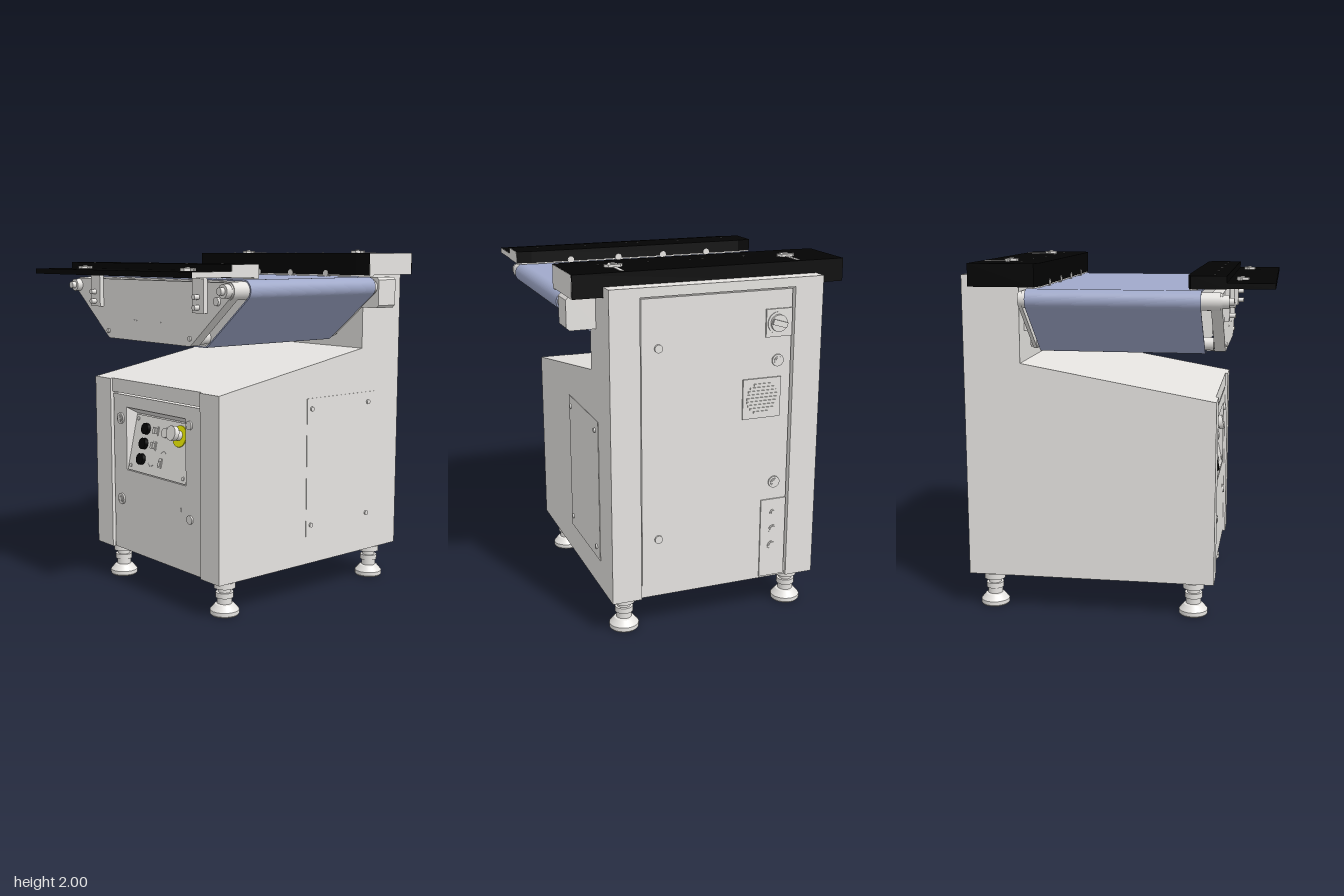
import * as THREE from 'three';

const mat = (name, color) => {
  const m = new THREE.MeshStandardMaterial({ color });
  m.name = name;
  return m;
};

export function createModel() {
  const model = new THREE.Group();
  model.name = 'conveyorMachine';
  const body = mat('paintedSteel', 0xe5e3e0);
  const black = mat('blackCover', 0x030303);
  const blue = mat('beltBlue', 0xa0a9ca);
  const yellow = mat('signalYellow', 0xf0f000);

  const add = (name, geo, m, x = 0, y = 0, z = 0, parent = model) => {
    const mesh = new THREE.Mesh(geo, m);
    mesh.name = name;
    mesh.position.set(x, y, z);
    parent.add(mesh);
    return mesh;
  };
  // box given by its limits
  const box = (name, m, x0, x1, y0, y1, z0, z1, parent = model) =>
    add(name, new THREE.BoxGeometry(x1 - x0, y1 - y0, z1 - z0), m,
      (x0 + x1) / 2, (y0 + y1) / 2, (z0 + z1) / 2, parent);
  // disc or rod with its axis along z, y or x
  const rod = (name, m, r, len, x, y, z, axis = 'z', parent = model, seg = 24) => {
    const g = new THREE.CylinderGeometry(r, r, len, seg);
    if (axis === 'z') g.rotateX(Math.PI / 2);
    if (axis === 'x') g.rotateZ(Math.PI / 2);
    return add(name, g, m, x, y, z, parent);
  };
  const poly = pts => new THREE.Shape(pts.map(p => new THREE.Vector2(...p)));
  const rect = (x0, x1, y0, y1) => poly([[x0, y0], [x1, y0], [x1, y1], [x0, y1]]);
  const extrude = (shape, depth) =>
    new THREE.ExtrudeGeometry(shape, { depth, bevelEnabled: false, curveSegments: 12 });
  // side profile of [z, y] points stretched from x0 to x1
  const profile = (name, m, pts, x0, x1) =>
    add(name, extrude(poly(pts), x1 - x0).rotateY(-Math.PI / 2), m, x1);

  // Cabinet: two corner-post slices and a recessed middle slice
  const post = [[0.56, 0.28], [0.56, 1.24], [-0.52, 1.43], [-0.52, 1.91], [-0.84, 1.91], [-0.84, 0.28]];
  profile('cabinetSide', body, post, 0.432, 0.595);
  profile('cabinetSide', body, post, -0.595, -0.432);
  profile('cabinetCentre', body, [[0.46, 0.28], [0.46, 1.162], [0.545, 1.162], [0.545, 1.24264], [-0.52, 1.43],
    [-0.52, 1.91], [-0.84, 1.91], [-0.84, 1.86], [-0.806, 1.86], [-0.806, 0.28]], -0.432, 0.432);

  // Skirt around the recessed floor
  for (const s of [-1, 1]) {
    box('sideSkirt', body, s * 0.585 - 0.01, s * 0.585 + 0.01, 0.207, 0.28, -0.84, 0.56);
    for (const [a, b] of [[0.54, 0.56], [-0.84, -0.82]])
      box('cornerSkirt', body, s * 0.5035 - 0.0715, s * 0.5035 + 0.0715, 0.207, 0.28, a, b);
  }
  box('rearSkirt', body, -0.432, 0.432, 0.207, 0.28, -0.822, -0.8);

  // Front door with an opening for the control panel
  const door = rect(-0.422, 0.422, 0.21, 1.153);
  door.holes.push(rect(-0.29, 0.285, 0.705, 1.082));
  add('frontDoor', extrude(door, 0.085), body, 0, 0, 0.46);
  profile('panelRecess', body, [[0.455, 0.705], [0.538, 0.705], [0.463, 1.04], [0.543, 1.082], [0.455, 1.082]], -0.29, 0.285);
  for (const [x, y, r] of [[-0.345, 1.01, 0.033], [-0.345, 0.52, 0.033], [0.325, 1.05, 0.025], [0.325, 0.52, 0.025]])
    rod('doorLock', body, r, 0.012, x, y, 0.549);
  for (const y of [1.01, 0.52]) {
    rod('doorLockRing', body, 0.022, 0.006, -0.345, y, 0.556);
    rod('doorLockCore', body, 0.015, 0.01, -0.345, y, 0.557);
  }
  box('doorMark', body, 0.237, 0.243, 0.55, 0.57, 0.545, 0.548);

  // Tilted control panel
  const panel = new THREE.Group();
  panel.name = 'controlPanel';
  panel.position.set(0, 0.8725, 0.5005);
  panel.rotation.x = -Math.atan2(0.075, 0.335);
  model.add(panel);
  box('panelPlate', body, -0.283, 0.278, -0.168, 0.165, 0, 0.006, panel);
  for (const y of [0.09, 0.002, -0.09]) rod('blackButton', black, 0.033, 0.026, -0.16, y, 0.015, 'z', panel);
  for (const y of [0.09, 0.002]) {
    box('selectorFrame', body, -0.1, -0.045, y - 0.026, y + 0.026, 0.005, 0.01, panel);
    for (const dx of [-0.012, 0.012])
      box('selectorKey', body, -0.0725 + dx - 0.01, -0.0725 + dx + 0.01, y - 0.018, y + 0.018, 0.008, 0.016, panel);
  }
  box('toggleSwitch', body, 0.006, 0.034, -0.115, -0.06, 0.005, 0.012, panel);
  box('toggleKey', body, 0.01, 0.03, -0.105, -0.075, 0.01, 0.018, panel);
  rod('whiteButton', body, 0.029, 0.026, 0.032, 0.09, 0.012, 'z', panel);
  rod('stopDisc', yellow, 0.062, 0.008, 0.158, 0.088, 0.008, 'z', panel);
  rod('stopStem', body, 0.028, 0.05, 0.158, 0.092, 0.03, 'z', panel);
  rod('stopHead', body, 0.042, 0.03, 0.158, 0.1, 0.062, 'z', panel);
  for (const x of [-0.26, 0.25]) for (const y of [-0.14, 0.14]) rod('panelScrew', body, 0.011, 0.008, x, y, 0.008, 'z', panel);
  for (const x of [-0.07, 0.035]) {
    const arc = new THREE.TorusGeometry(0.028, 0.0015, 4, 12, 2.2).rotateZ(x < 0 ? -2.67 : 0.47);
    add('dialMark', arc, body, x, x < 0 ? -0.09 : -0.045, 0.007, panel);
  }

  // Access panel on one side
  box('accessPanel', body, 0.59, 0.598, 0.37, 1.17, -0.63, -0.08);
  for (const y of [0.435, 1.11]) for (const z of [-0.115, -0.575]) rod('accessScrew', body, 0.013, 0.012, 0.601, y, z, 'x');

  // Rear door and its fittings
  box('rearDoor', body, -0.422, 0.422, 0.25, 1.85, -0.825, -0.8);
  for (const y of [0.54, 1.59]) rod('rearScrew', body, 0.022, 0.012, 0.33, y, -0.829);
  for (const y of [0.78, 1.47]) {
    rod('rearLock', body, 0.033, 0.012, -0.345, y, -0.828);
    rod('rearLockRing', body, 0.022, 0.006, -0.345, y, -0.835);
    rod('rearLockCore', body, 0.015, 0.01, -0.345, y, -0.835);
  }
  box('switchPlate', body, -0.42, -0.27, 1.6, 1.75, -0.835, -0.82);
  rod('switchRing', body, 0.06, 0.01, -0.338, 1.675, -0.835);
  rod('switchBase', body, 0.046, 0.02, -0.338, 1.675, -0.845);
  box('switchHandle', body, -0.38, -0.296, 1.66, 1.69, -0.866, -0.845).rotation.z = 0.3;
  box('fanGrille', body, -0.365, -0.145, 1.16, 1.38, -0.834, -0.82);
  for (let i = -4; i <= 4; i++) {
    const w = Math.sqrt(0.0081 - (i * 0.019) ** 2);
    box('fanSlat', body, -0.255 - w, -0.255 + w, 1.266 + i * 0.019, 1.276 + i * 0.019, -0.839, -0.83);
  }
  box('socketPlate', body, -0.42, -0.27, 0.22, 0.68, -0.833, -0.815);
  [0.6, 0.5, 0.4].forEach((y, i) => {
    rod('socketRing', body, 0.02 + i * 0.005, 0.006, -0.345, y, -0.833);
    rod('socket', body, 0.013 + i * 0.005, 0.01, -0.345, y, -0.835);
  });

  // Levelling feet
  const foot = new THREE.LatheGeometry([[0, 0], [0.076, 0], [0.082, 0.008], [0.082, 0.03], [0.055, 0.062], [0.042, 0.066],
    [0.042, 0.1], [0.05, 0.1], [0.05, 0.13], [0.036, 0.13], [0.036, 0.15], [0.06, 0.155], [0.06, 0.188], [0.054, 0.19],
    [0.054, 0.285]].flatMap(p => [new THREE.Vector2(...p), new THREE.Vector2(...p)]), 24);
  for (const x of [-0.495, 0.495]) for (const z of [0.44, -0.72]) add('foot', foot, body, x, 0, z);

  // Conveyor outline: two high end rollers and two low ones
  const hi = [0.7, 1.79], lo = [0.375, 1.53];
  const a = Math.atan2(lo[0] - hi[0], hi[1] - lo[1]);
  const outline = (r, P = THREE.Shape) => {
    const s = new P();
    s.absarc(hi[0], hi[1], r, Math.PI / 2, a, true);
    s.absarc(lo[0], lo[1], r, a, -Math.PI / 2, true);
    s.absarc(-lo[0], lo[1], r, -Math.PI / 2, -Math.PI - a, true);
    s.absarc(-hi[0], hi[1], r, Math.PI - a, Math.PI / 2, true);
    s.closePath();
    return s;
  };
  const belt = outline(0.056);
  belt.holes.push(outline(0.048, THREE.Path));
  add('belt', extrude(belt, 0.93), blue, 0, 0, -0.45);
  add('innerFrame', extrude(outline(0.046), 0.9), body, 0, 0, -0.435);
  add('frontSidePlate', extrude(outline(0.042), 0.06), body, 0, 0, 0.53);
  add('rearSidePlate', extrude(outline(0.042), 0.02), body, 0, 0, -0.49);
  for (const s of [-1, 1]) {
    rod('endRoller', body, 0.047, 1.05, s * 0.7, 1.79, 0.055);
    rod('rollerBearing', body, 0.036, 0.04, s * 0.705, 1.79, 0.605);
    rod('bearingCore', body, 0.02, 0.03, s * 0.705, 1.79, 0.635);
    rod('lowerRoller', body, 0.036, 1.03, s * 0.375, 1.53, 0.01);
    rod('plateScrew', body, 0.013, 0.012, s * 0.39, 1.53, 0.593);
    box('mountArm', body, s * 0.45 - 0.04, s * 0.45 + 0.04, 1.6, 1.66, -0.53, -0.47);
    box('beltGuide', body, s * 0.3 - 0.03, s * 0.3 + 0.03, 1.484, 1.49, 0.48, 0.53);
    box('plateSlot', body, s * 0.115 - 0.012, s * 0.115 + 0.012, 1.6, 1.606, 0.589, 0.593);
    // brackets that carry the front cover
    box('coverBracket', body, s * 0.49 - 0.048, s * 0.49 + 0.048, 1.67, 1.86, 0.59, 0.615);
    box('bracketFlange', body, s * 0.49 - 0.048, s * 0.49 + 0.048, 1.85, 1.862, 0.59, 0.64);
    for (const y of [1.7, 1.755]) rod('bracketBolt', body, 0.014, 0.035, s * 0.492, y, 0.63);
  }
  // Drive motor housing
  const motor = poly([[0.57, 1.67], [0.735, 1.67], [0.752, 1.685], [0.752, 1.83], [0.738, 1.845], [0.57, 1.845]]);
  add('driveHousing', extrude(motor, 0.14), body, 0, 0, -0.62);
  rod('driveScrew', body, 0.022, 0.02, 0.625, 1.735, 0.595);

  // Covers: plan outline with a slightly cut inner edge, given as z limits
  const cover = (name, m, inner, outer, y0, y1) => {
    const d = Math.sign(outer - inner) * 0.018;
    const pts = [[-0.755, -outer], [0.755, -outer], [0.755, -inner - d], [0.67, -inner], [-0.67, -inner], [-0.755, -inner - d]];
    add(name, extrude(poly(pts), y1 - y0).rotateX(-Math.PI / 2), m, 0, y0);
  };
  cover('rearCover', black, -0.378, -0.755, 1.857, 1.98);
  cover('rearCoverRail', body, -0.38, -0.43, 1.85, 1.857);
  cover('frontCover', black, 0.408, 0.612, 1.857, 1.925);
  cover('frontCoverRail', body, 0.41, 0.46, 1.85, 1.857);
  // front shelf with two open adjustment slots
  const knobX = [-0.495, 0.487];
  const shelf = rect(-0.755, 0.755, -0.86, -0.61);
  for (const x of knobX) shelf.holes.push(rect(x - 0.01, x + 0.01, -0.825, -0.7));
  add('frontCoverShelf', extrude(shelf, 0.03).rotateX(-Math.PI / 2), black, 0, 1.86);
  box('rearCoverEnd', body, 0.752, 0.757, 1.857, 1.979, -0.747, -0.398);
  box('frontCoverEnd', body, 0.752, 0.757, 1.857, 1.924, 0.428, 0.607);
  box('shelfEnd', body, 0.752, 0.757, 1.86, 1.89, 0.607, 0.858);
  // small guide rollers under the inner edges
  for (const x of [-0.45, -0.16, 0.13, 0.43])
    for (const z of [-0.39, 0.42]) rod('guideRoller', body, 0.02, 0.03, x, 1.864, z, 'z', model, 12);
  // cover screws
  for (const x of [-0.55, -0.28, -0.04, 0.033, 0.27, 0.545]) rod('coverScrew', body, 0.006, 0.004, x, 1.98, -0.51, 'y', model, 8);
  for (const x of [-0.61, -0.31, -0.04, 0.033, 0.3, 0.6]) rod('coverScrew', body, 0.006, 0.004, x, 1.925, 0.54, 'y', model, 8);

  // Clamp knobs
  const wing = poly([[-0.05, 0.008], [-0.032, 0.03], [0.032, 0.03], [0.05, 0.008], [0.05, 0], [0.026, 0],
    [0.018, -0.034], [-0.018, -0.034], [-0.026, 0], [-0.05, 0]]);
  for (const x of knobX) {
    box('rearSlot', body, x - 0.01, x + 0.01, 1.978, 1.983, -0.73, -0.61);
    for (const [y, z] of [[1.98, -0.58], [1.89, 0.68]]) {
      add('knobWing', extrude(wing, 0.014).rotateX(-Math.PI / 2), body, x, y, z);
      rod('knobBolt', body, 0.013, 0.02, x, y + 0.01, z, 'y', model, 12);
    }
  }
  return model;
}
